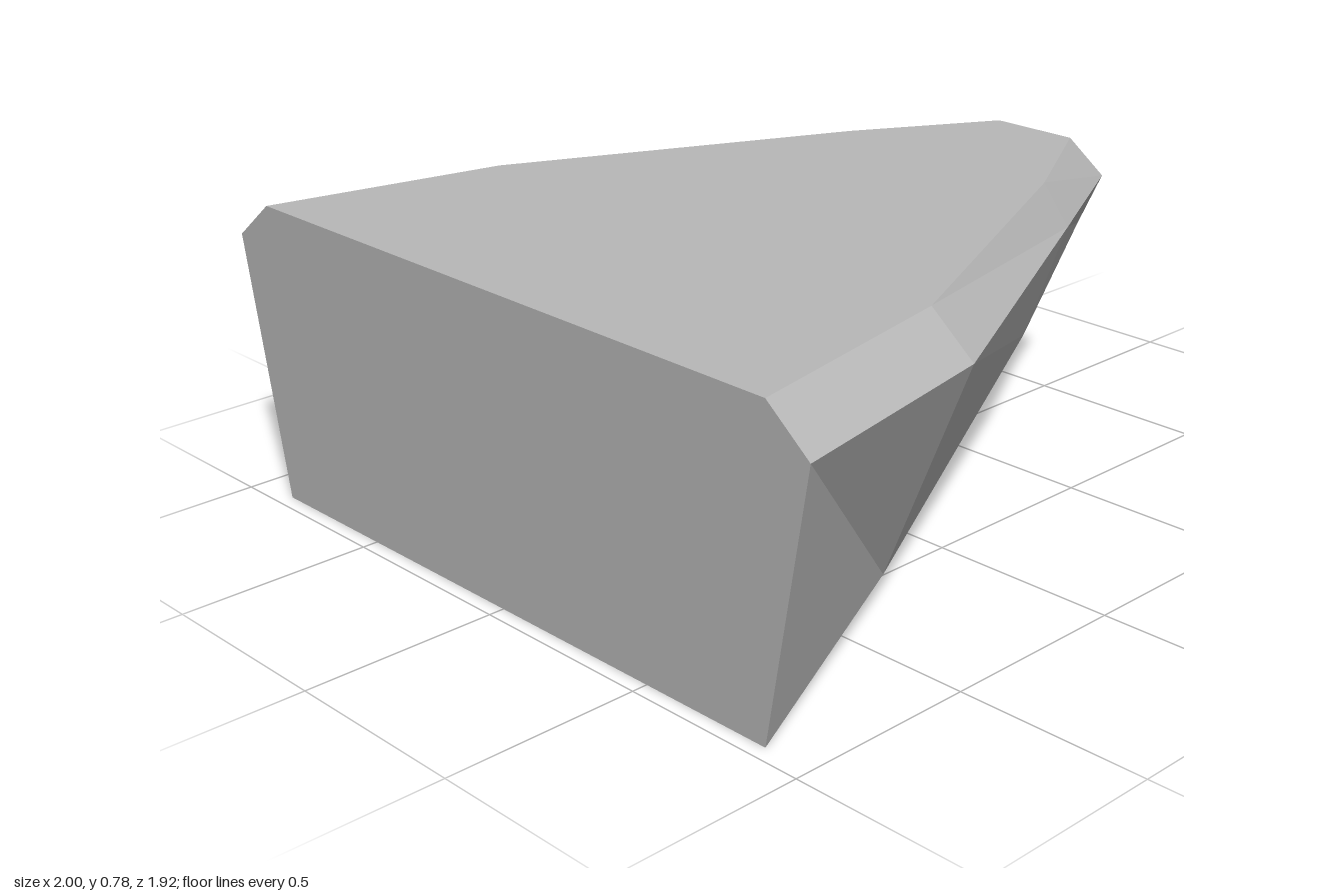
import * as THREE from 'three';

const MID_Y = 0.68, TOP_Y = 0.78;

// Cross-sections from front to back: z, underside half width and height,
// widest half width, top half width and the z of the top edge
const SECTIONS = [
  { z: 0.96, keelX: 0.87, keelY: 0, midX: 1, topX: 0.875, topZ: 0.96 },
  { z: 0.34, keelX: 0.62, keelY: 0.09, midX: 0.875, topX: 0.75, topZ: 0.34 },
  { z: -0.54, keelX: 0.29, keelY: 0.355, midX: 0.42, topX: 0.34, topZ: -0.54 },
  { z: -0.96, keelX: 0.125, keelY: 0.53, midX: 0.2, topX: 0.125, topZ: -0.91 },
];

// Six-cornered ring, counter-clockwise seen from the front
function ring(s) {
  const half = [[s.keelX, s.keelY, s.z], [s.midX, MID_Y, s.z], [s.topX, TOP_Y, s.topZ]];
  const mirrored = half.map(([x, y, z]) => [-x, y, z]).reverse();
  return [...half, ...mirrored];
}

function hullGeometry() {
  const rings = SECTIONS.map(ring);
  const positions = [];
  const tri = (a, b, c) => positions.push(...a, ...b, ...c);
  const quad = (a, b, c, d) => { tri(a, b, c); tri(a, c, d); };

  // Skin between neighbouring rings, with mirrored diagonals on the two sides
  for (let i = 0; i < rings.length - 1; i++) {
    const a = rings[i], b = rings[i + 1];
    for (let j = 0; j < 6; j++) {
      const k = (j + 1) % 6;
      if (j < 3) quad(b[j], b[k], a[k], a[j]);
      else quad(a[j], b[j], b[k], a[k]);
    }
  }

  // Flat front wall, and the back tip with its bevel
  const f = rings[0], t = rings[rings.length - 1];
  quad(f[0], f[1], f[4], f[5]);
  quad(f[1], f[2], f[3], f[4]);
  quad(t[5], t[4], t[1], t[0]);
  quad(t[4], t[3], t[2], t[1]);

  const geometry = new THREE.BufferGeometry();
  geometry.setAttribute('position', new THREE.Float32BufferAttribute(positions, 3));
  geometry.computeVertexNormals();
  return geometry;
}

export function createModel() {
  const group = new THREE.Group();
  group.name = 'wedgeHull';
  const grey = new THREE.MeshStandardMaterial({ color: 0xb8b8b8, flatShading: true });
  grey.name = 'grey';
  const hull = new THREE.Mesh(hullGeometry(), grey);
  hull.name = 'hull';
  group.add(hull);
  return group;
}
